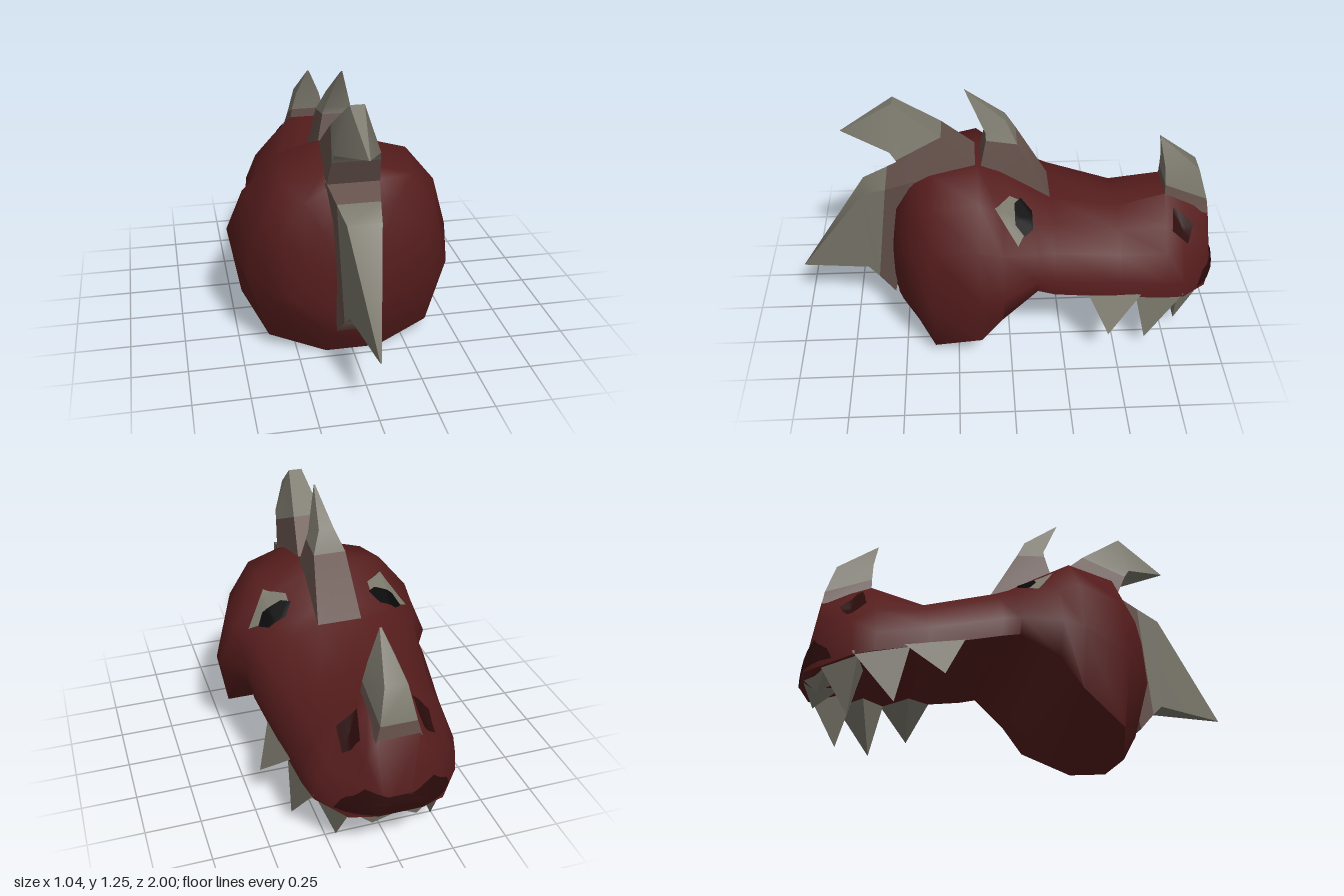
import * as THREE from 'three';
import { toCreasedNormals } from 'three/addons/utils/BufferGeometryUtils.js';
import { ConvexGeometry } from 'three/addons/geometries/ConvexGeometry.js';

const material = (name, color) => {
  const m = new THREE.MeshStandardMaterial({ color, side: THREE.DoubleSide });
  m.name = name;
  return m;
};

// Closed skin through rings of [x, y, z] points
function loft(rings, crease) {
  const n = rings[0].length, index = [];
  for (let i = 0; i < rings.length - 1; i++) {
    for (let j = 0; j < n; j++) {
      const a = i * n + j, b = i * n + (j + 1) % n;
      index.push(a, b, b + n, a, b + n, a + n);
    }
  }
  const last = (rings.length - 1) * n;
  for (let j = 1; j < n - 1; j++) {
    index.push(0, j + 1, j, last, last + j, last + j + 1);
  }
  const g = new THREE.BufferGeometry();
  g.setAttribute('position', new THREE.Float32BufferAttribute(rings.flat(2), 3));
  g.setIndex(index);
  return toCreasedNormals(g, crease);
}

export function createModel() {
  const group = new THREE.Group();
  const red = material('redHide', 0x551c1c);
  const brown = material('brownHornBase', 0x64504a);
  const bone = material('greyBone', 0x79766a);
  const dark = material('darkRed', 0x2b0b0b);
  const black = material('blackPupil', 0x080808);
  const add = (name, geometry, mat) => {
    const mesh = new THREE.Mesh(geometry, mat);
    mesh.name = name;
    group.add(mesh);
    return mesh;
  };

  // Head: z, then half-width and height of lip, cheek, temple, brow and crown
  const sections = [
    [-.992, .10, .265, .10, .28, .09, .30, .07, .31, .04, .315],
    [-.945, .21, .25, .20, .32, .18, .42, .14, .52, .09, .61],
    [-.82, .32, .275, .315, .36, .26, .46, .17, .55, .095, .67],
    [-.73, .345, .295, .345, .38, .29, .51, .20, .61, .09, .715],
    [-.51, .375, .335, .37, .42, .31, .53, .21, .60, .08, .645],
    [-.20, .415, .40, .42, .48, .37, .60, .25, .68, .10, .72],
    [-.12, .41, .42, .43, .49, .39, .615, .28, .70, .10, .77],
    [.04, .47, .31, .52, .46, .44, .65, .30, .775, .10, .87],
    [.14, .47, .18, .515, .44, .45, .68, .31, .85, .10, .91],
    [.36, .37, .06, .46, .36, .39, .65, .29, .81, .10, .865],
    [.45, .12, .00, .37, .32, .33, .59, .21, .75, .08, .83],
    [.52, .10, .12, .27, .32, .23, .53, .15, .65, .07, .70],
    [.55, .07, .20, .10, .30, .10, .40, .08, .47, .05, .50],
  ];
  const headRings = sections.map(([z, ...s]) => {
    const half = [0, 2, 4, 6, 8].map(k => [s[k], s[k + 1], z]);
    return [...half, ...half.map(([x, y]) => [-x, y, z]).reverse()];
  });
  const head = add('head', loft(headRings, 1.1), red);
  head.updateMatrixWorld();

  // Horns: sections [front z, front y, half-width, back z, back y, half-width]
  const horn = (name, rows, split) => {
    const rings = rows.map(([fz, fy, fw, bz, by, bw]) =>
      [[bw, by, bz], [fw, fy, fz], [-fw, fy, fz], [-bw, by, bz]]);
    add(name + 'Base', loft(rings.slice(0, split + 1), 1), brown);
    add(name + 'Tip', loft(rings.slice(split), 1), bone);
  };
  horn('noseHorn', [
    [-.945, .60, .10, -.73, .66, .10],
    [-.935, .67, .08, -.73, .76, .085],
    [-.89, .82, .05, -.725, .85, .06],
    [-.70, .98, .004, -.70, .98, .004],
  ], 1);
  horn('browHorn', [
    [-.20, .71, .105, .13, .88, .10],
    [-.04, 1.0, .075, .10, 1.02, .07],
    [.01, 1.10, .035, .10, 1.05, .06],
    [.19, 1.245, .003, .19, 1.245, .003],
  ], 1);
  horn('crownHorn', [
    [.12, .88, .10, .44, .80, .12],
    [.30, 1.045, .07, .505, .95, .105],
    [.51, 1.20, .032, .53, .99, .10],
    [.75, 1.05, .003, .75, 1.05, .003],
  ], 1);
  horn('backSpike', [
    [.43, .84, .12, .555, .165, .09],
    [.565, .785, .095, .63, .25, .072],
    [.68, .74, .075, .68, .30, .06],
    [1.0, .28, .003, 1.0, .278, .003],
  ], 1);

  // Upper teeth: two lip points [x, z], an inner point and a tip, mirrored
  const lipY = z => .27 + (z + .95) * .19;
  const teeth = [
    [[.39, -.35], [.36, -.61], [.255, -.48], [.46, .18, -.45]],
    [[.365, -.58], [.32, -.82], [.22, -.70], [.37, .07, -.64]],
    [[.32, -.79], [.20, -.94], [.12, -.74], [.22, .05, -.81]],
    [[.23, -.91], [.01, -.985], [.05, -.78], [.10, .18, -.93]],
  ];
  for (const side of [1, -1]) {
    teeth.forEach(([a, b, inner, tip], i) => {
      const base = [a, b, inner].map(([x, z]) => [x, lipY(z), z]);
      const points = [...base, tip].map(([x, y, z]) => new THREE.Vector3(side * x, y, z));
      add((side > 0 ? 'left' : 'right') + 'Tooth' + (i + 1), new ConvexGeometry(points), bone);
    });
  }

  // Thin painted plates laid on the head, from above or from the snout end
  const ray = new THREE.Raycaster();
  const decal = (name, outline, mat, fromAbove, lift) => {
    const dir = fromAbove ? new THREE.Vector3(0, -1, 0) : new THREE.Vector3(0, 0, 1);
    const centre = [0, 1].map(k => outline.reduce((s, p) => s + p[k], 0) / outline.length);
    const edge = outline.flatMap((p, i) => {
      const q = outline[(i + 1) % outline.length];
      return [0, .25, .5, .75].map(t => [p[0] + (q[0] - p[0]) * t, p[1] + (q[1] - p[1]) * t]);
    });
    const steps = 8, n = edge.length, positions = [], index = [];
    for (let r = 0; r <= steps; r++) {
      for (const p of edge) {
        const [u, v] = [0, 1].map(k => centre[k] + (p[k] - centre[k]) * r / steps);
        ray.set(fromAbove ? new THREE.Vector3(u, 3, v) : new THREE.Vector3(u, v, -3), dir);
        const hit = ray.intersectObject(head)[0];
        const at = hit ? hit.point : new THREE.Vector3(u, fromAbove ? .7 : v, fromAbove ? v : -.95);
        at.addScaledVector(dir, -lift);
        positions.push(at.x, at.y, at.z);
      }
    }
    for (let r = 0; r < steps; r++) {
      for (let j = 0; j < n; j++) {
        const a = r * n + j, b = r * n + (j + 1) % n;
        if (r > 0) index.push(a, b, b + n);
        index.push(a, b + n, a + n);
      }
    }
    const g = new THREE.BufferGeometry();
    g.setAttribute('position', new THREE.Float32BufferAttribute(positions, 3));
    // wind every plate outward
    const area = outline.reduce((s, p, i) => {
      const q = outline[(i + 1) % outline.length];
      return s + p[0] * q[1] - q[0] * p[1];
    }, 0);
    g.setIndex(area > 0 ? index.reverse() : index);
    g.computeVertexNormals();
    add(name, g, mat);
  };
  for (const side of [1, -1]) {
    const label = side > 0 ? 'left' : 'right';
    const flip = pts => pts.map(([x, z]) => [side * x, z]);
    decal(label + 'EyeWhite', flip([[.20, -.05], [.34, -.06], [.39, -.03], [.29, .07], [.20, .0]]), bone, true, .006);
    decal(label + 'Pupil', flip([[.19, -.05], [.23, -.10], [.31, -.10], [.35, -.06], [.32, -.02], [.23, -.02]]), black, true, .0095);
    decal(label + 'Nostril', flip([[.12, -.77], [.205, -.76], [.205, -.84], [.14, -.87]]), dark, true, .007);
  }
  decal('darkLip', [[-.26, .278], [-.1, .272], [.1, .272], [.26, .278], [.235, .33], [.15, .40],
    [.06, .355], [-.06, .355], [-.15, .40], [-.235, .33]], dark, false, .008);

  return group;
}
